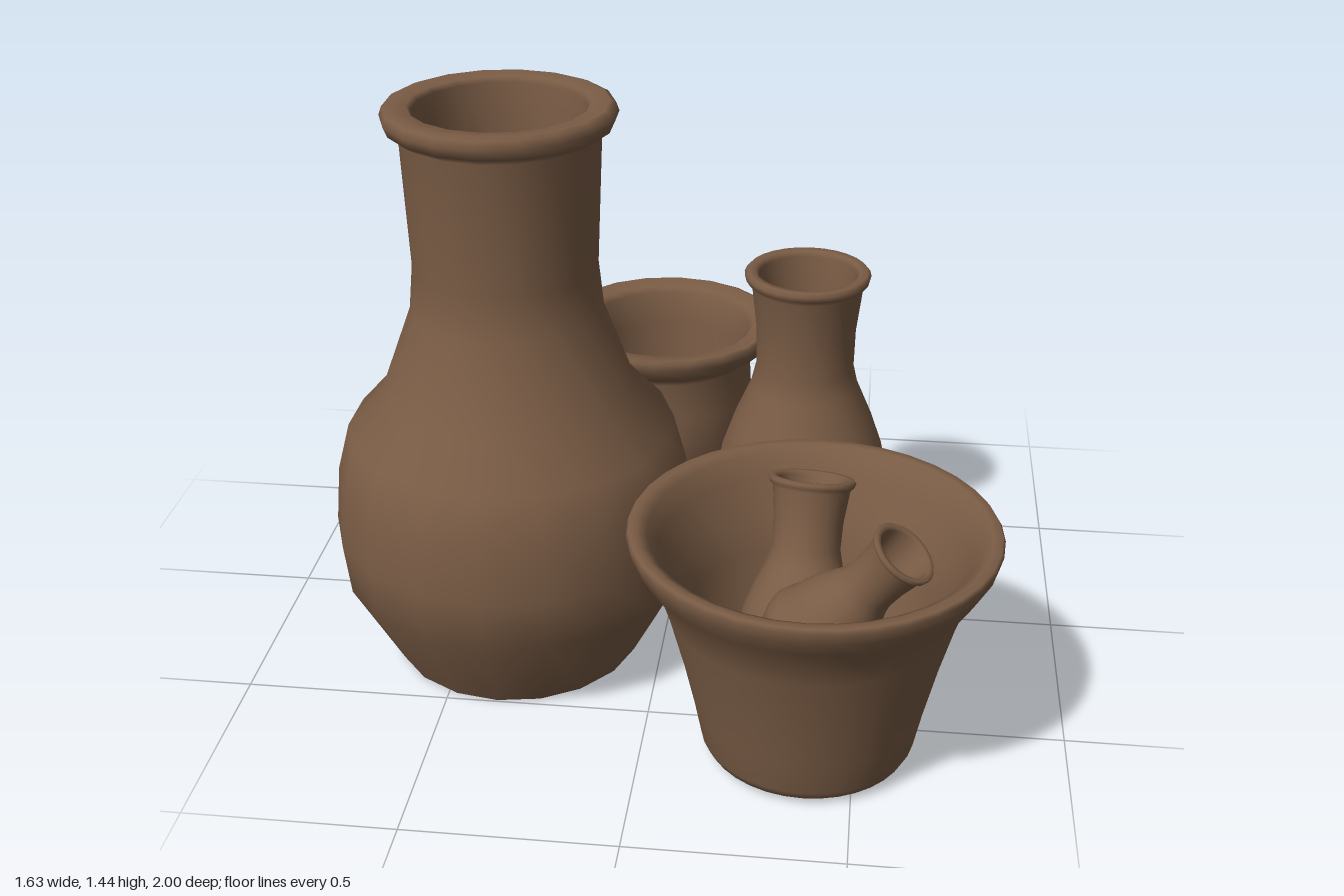
import * as THREE from 'three';

const clay = new THREE.MeshStandardMaterial({ color: 0x7a5c45 });
clay.name = 'brown clay';

// Turns a [radius, height] profile: base, outer wall, rim, inner wall, floor
function turn(name, profile, sides) {
  const points = profile.map(([r, y]) => new THREE.Vector2(r, y));
  const mesh = new THREE.Mesh(new THREE.LatheGeometry(points, sides), clay);
  mesh.name = name;
  return mesh;
}

const tallVase = [
  [0, 0], [0.305, 0], [0.31, 0.005],
  [0.43, 0.23], [0.445, 0.36], [0.432, 0.5], [0.4, 0.62], [0.31, 0.72],
  [0.232, 0.93], [0.221, 1.04], [0.235, 1.365],
  [0.265, 1.385], [0.275, 1.41], [0.268, 1.43], [0.255, 1.436], [0.212, 1.432],
  [0.203, 1.42], [0.195, 1.3], [0.19, 1.0], [0.27, 0.72], [0.36, 0.6],
  [0.4, 0.36], [0.37, 0.2], [0.26, 0.06], [0, 0.04],
];

const slimVase = [
  [0, 0], [0.18, 0], [0.19, 0.005],
  [0.222, 0.04], [0.25, 0.13], [0.26, 0.18], [0.25, 0.23], [0.226, 0.29],
  [0.216, 0.35], [0.185, 0.44], [0.142, 0.54], [0.128, 0.6], [0.13, 0.7],
  [0.145, 0.825], [0.16, 0.84], [0.164, 0.855], [0.155, 0.865], [0.135, 0.863],
  [0.127, 0.85], [0.112, 0.72], [0.108, 0.6], [0.165, 0.42],
  [0.225, 0.18], [0.19, 0.06], [0, 0.04],
];

const flaredPot = [
  [0, 0], [0.22, 0], [0.24, 0.008], [0.252, 0.03],
  [0.27, 0.12], [0.3, 0.25], [0.335, 0.38], [0.355, 0.44], [0.395, 0.5],
  [0.418, 0.54], [0.426, 0.57], [0.42, 0.58], [0.4, 0.58], [0.378, 0.568],
  [0.355, 0.52], [0.315, 0.43], [0.29, 0.35], [0.245, 0.12], [0.2, 0.06], [0, 0.05],
];

const rimmedPot = [
  [0, 0], [0.17, 0], [0.18, 0.005],
  [0.21, 0.06], [0.235, 0.14], [0.245, 0.22], [0.246, 0.3], [0.24, 0.41],
  [0.26, 0.432], [0.295, 0.455], [0.308, 0.485], [0.312, 0.508], [0.3, 0.513],
  [0.25, 0.505], [0.236, 0.49], [0.215, 0.4], [0.215, 0.25],
  [0.19, 0.1], [0.15, 0.05], [0, 0.035],
];

export function createModel() {
  const group = new THREE.Group();
  group.name = 'pottery';

  // Standing vessels
  const standing = [
    ['tallVase', tallVase, 18, -0.375, 0, 0.19],
    ['slimVase', slimVase, 28, 0.325, 0.005, -0.255],
    ['flaredPot', flaredPot, 36, 0.39, 0.01, 0.57],
    ['rimmedPot', rimmedPot, 20, -0.092, 0.008, -0.688],
  ];
  for (const [name, profile, sides, x, y, z] of standing) {
    const vessel = turn(name, profile, sides);
    vessel.position.set(x, y, z);
    group.add(vessel);
  }

  // Small jars leaning inside the flared pot, placed by mouth centre and axis
  const leaning = [
    ['leaningJarBack', 0.63, [0.375, 0.6, 0.36], [0.045, 0.94, -0.33]],
    ['leaningJarFront', 0.48, [0.59, 0.663, 0.783], [0.57, 0.8, 0.19]],
  ];
  for (const [name, scale, mouth, direction] of leaning) {
    const axis = new THREE.Vector3(...direction).normalize();
    const jar = turn(name, slimVase, 24);
    jar.scale.setScalar(scale);
    jar.quaternion.setFromUnitVectors(new THREE.Vector3(0, 1, 0), axis);
    jar.position.set(...mouth).addScaledVector(axis, -0.863 * scale);
    group.add(jar);
  }
  return group;
}
